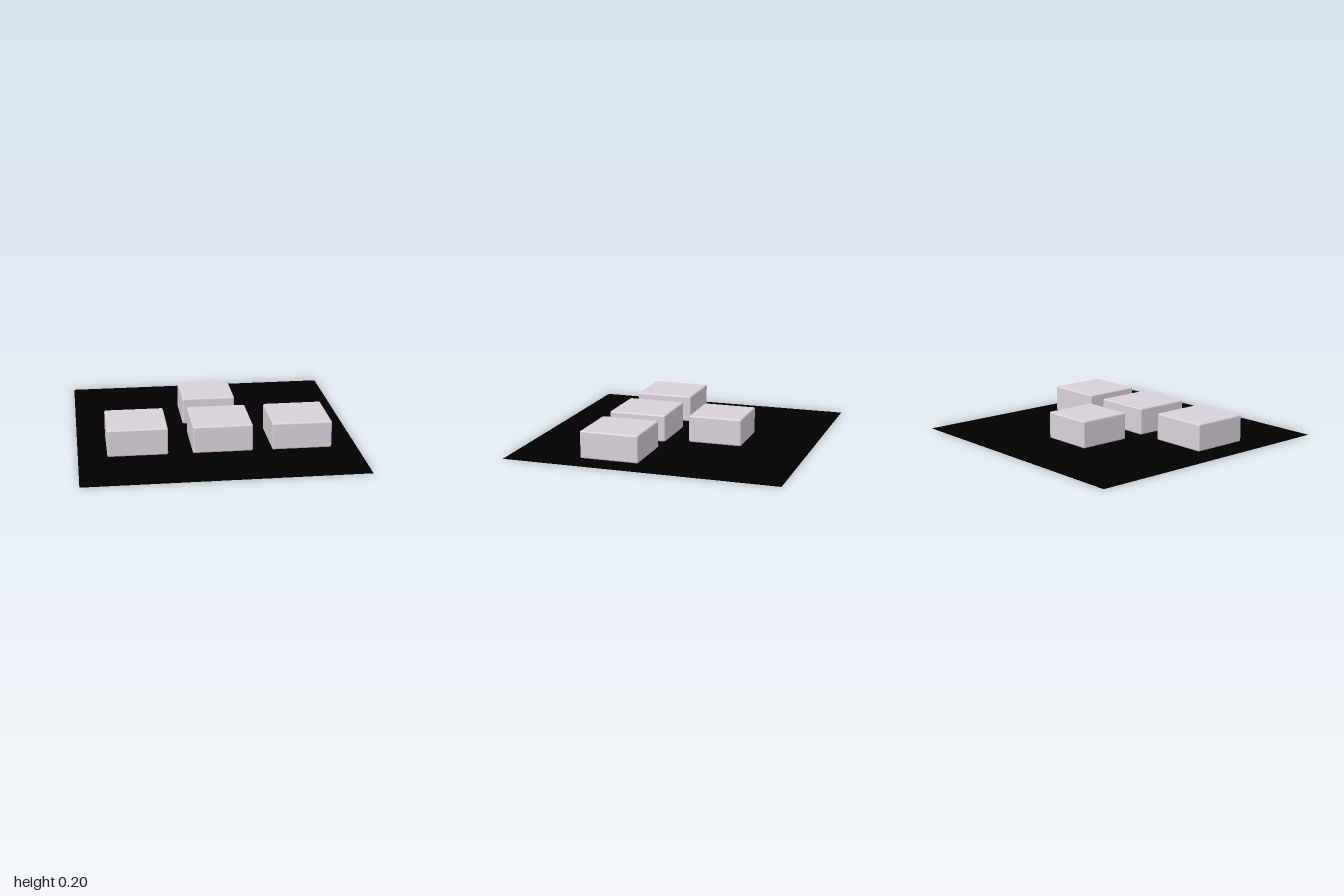
import * as THREE from 'three';
import { RoundedBoxGeometry } from 'three/addons/geometries/RoundedBoxGeometry.js';

export function createModel() {
  const model = new THREE.Group();
  const keyMaterial = new THREE.MeshStandardMaterial({ color: 0xd9d1d9 });
  const baseMaterial = new THREE.MeshStandardMaterial({ color: 0x000000, side: THREE.DoubleSide });

  // Thin square base sheet
  const base = new THREE.Mesh(new THREE.PlaneGeometry(2, 2).rotateX(-Math.PI / 2), baseMaterial);
  base.name = 'baseSheet';
  base.position.y = 0.001;
  model.add(base);

  // Square key block with softly rounded edges, standing at height y
  function addKey(name, x, z, size, y) {
    const height = 0.2;
    const key = new THREE.Mesh(new RoundedBoxGeometry(size, height, size, 3, 0.012), keyMaterial);
    key.name = name;
    key.position.set(x, y + height / 2, z);
    model.add(key);
  }

  // Front row of three, and a slightly smaller one behind the middle
  addKey('rightKey', -0.577, 0.277, 0.432, 0);
  addKey('middleKey', 0.03, 0.277, 0.432, 0);
  addKey('leftKey', 0.602, 0.277, 0.432, 0);
  addKey('backKey', -0.003, -0.302, 0.395, 0.002);

  return model;
}
